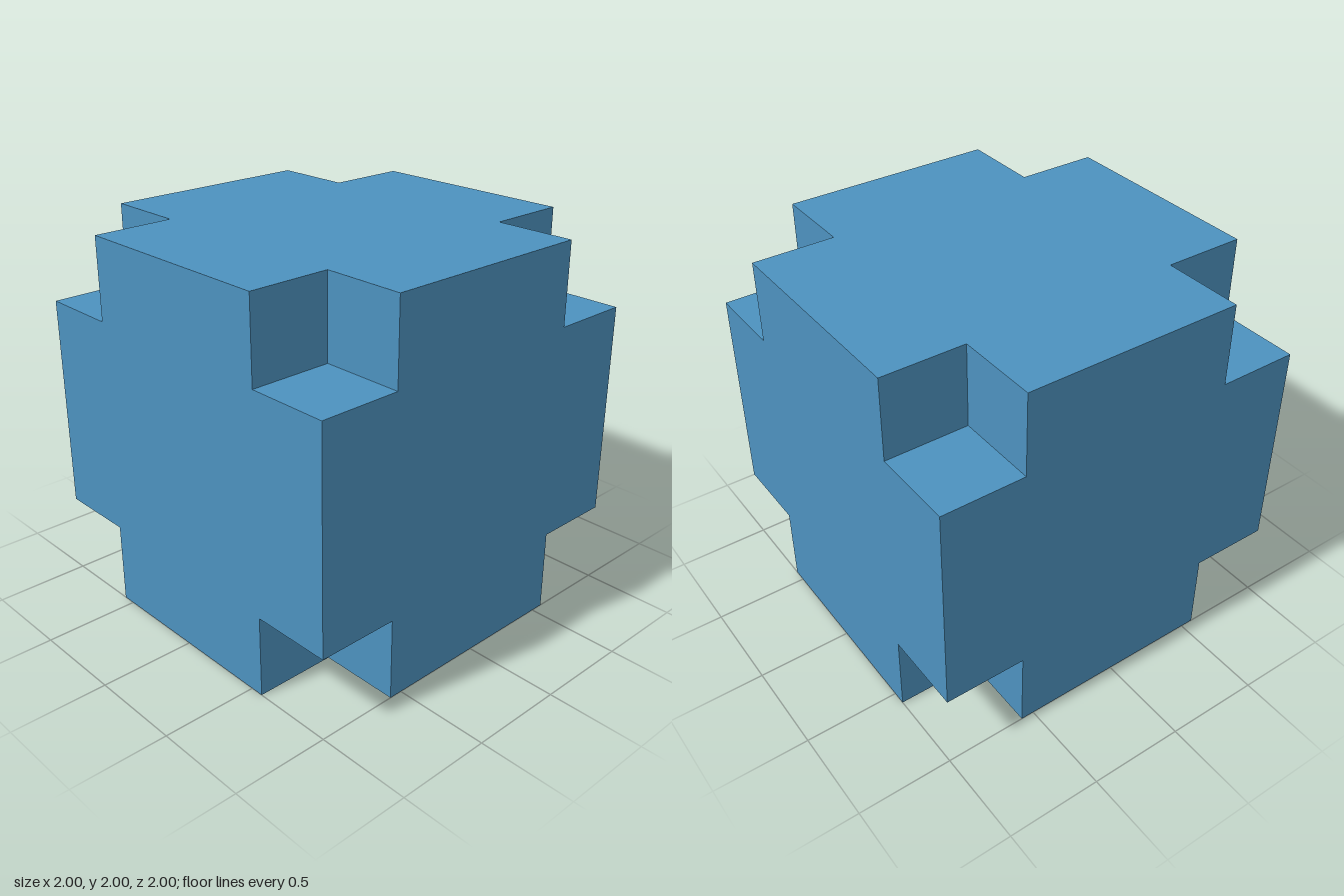
import * as THREE from 'three';

const HALF = 1;      // half the side of the cube
const INNER = 0.57;  // where the corner notches begin

export function createModel() {
  const model = new THREE.Group();
  model.name = 'notchedCube';
  const blue = new THREE.MeshStandardMaterial({ color: 0x4d92bf });
  blue.name = 'blue';

  // Cross-shaped outer face: a square without its four corners
  const cross = new THREE.Shape();
  for (let i = 0; i < 4; i++) {
    const c = Math.round(Math.cos(i * Math.PI / 2));
    const s = Math.round(Math.sin(i * Math.PI / 2));
    for (const [x, y] of [[HALF, -INNER], [HALF, INNER], [INNER, INNER]]) {
      const px = x * c - y * s, py = x * s + y * c;
      if (cross.curves.length === 0 && cross.currentPoint.lengthSq() === 0) cross.moveTo(px, py);
      else cross.lineTo(px, py);
    }
  }
  cross.closePath();
  const crossGeometry = new THREE.ShapeGeometry(cross);

  // Square floor of one corner notch
  const size = HALF - INNER;
  const floorGeometry = new THREE.PlaneGeometry(size, size);
  const mid = (HALF + INNER) / 2;

  // One cross and four notch floors for each side of the cube
  const q = Math.PI / 2;
  const sides = [
    ['front', 0, 0], ['left', 0, q], ['back', 0, 2 * q],
    ['right', 0, -q], ['top', -q, 0], ['bottom', q, 0],
  ];
  for (const [name, rx, ry] of sides) {
    const side = new THREE.Group();
    side.name = name + 'Side';
    side.position.y = HALF;
    side.rotation.set(rx, ry, 0);

    const face = new THREE.Mesh(crossGeometry, blue);
    face.name = name + 'Face';
    face.position.z = HALF;
    side.add(face);

    for (const sx of [-1, 1]) {
      for (const sy of [-1, 1]) {
        const floor = new THREE.Mesh(floorGeometry, blue);
        floor.name = name + 'NotchFace';
        floor.position.set(sx * mid, sy * mid, INNER);
        side.add(floor);
      }
    }
    model.add(side);
  }
  return model;
}
